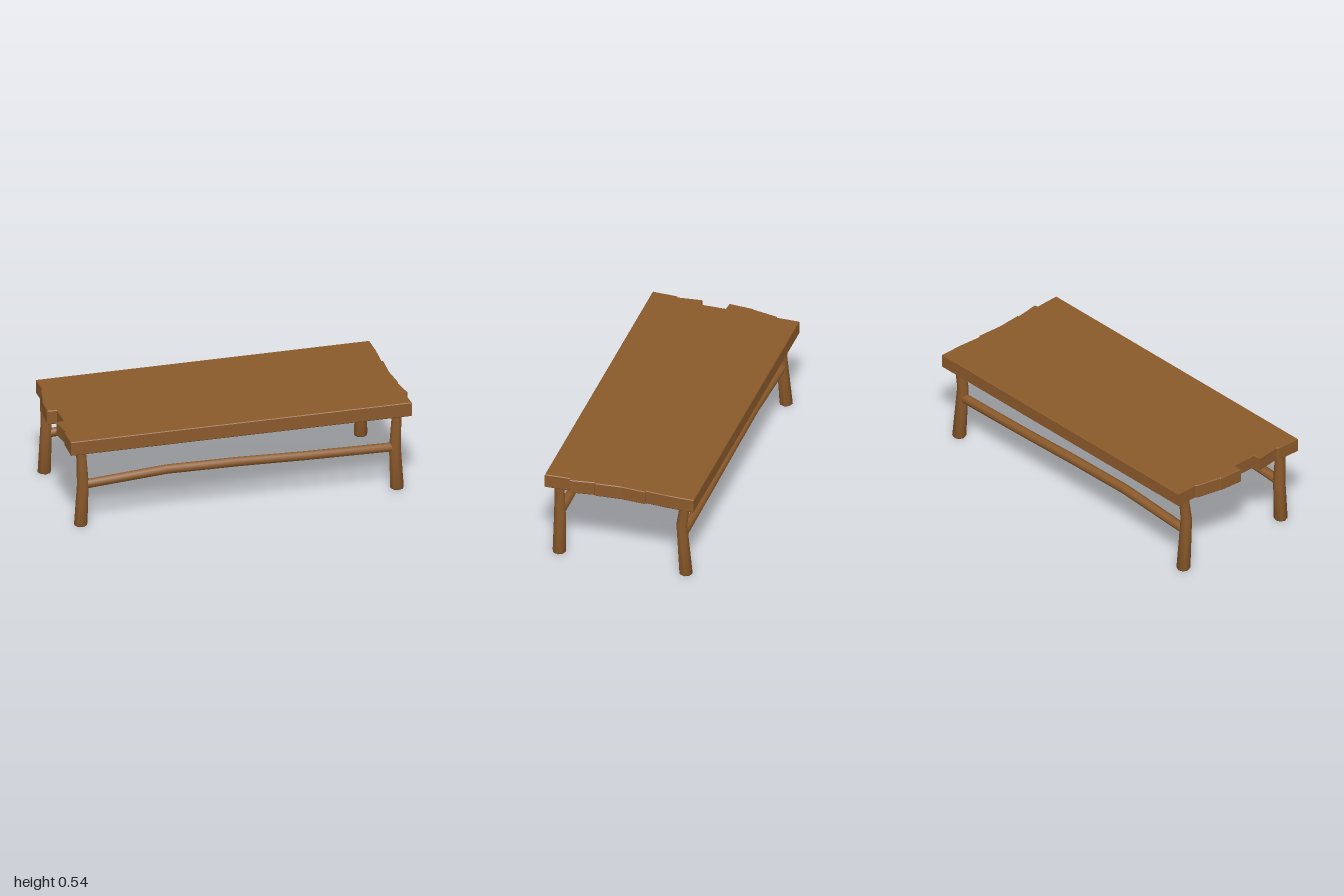
import * as THREE from 'three';
import { toCreasedNormals } from 'three/addons/utils/BufferGeometryUtils.js';

const wood = new THREE.MeshStandardMaterial({ color: 0x8b5a2b });
wood.name = 'brown wood';

// Rough pole through stations [x, y, z, radius], listed from the top down or from +x to -x
function pole(name, stations, horizontal, sides = 8) {
  const n = stations.length - 1;
  const geo = new THREE.CylinderGeometry(1, 1, 1, sides, n);
  const pos = geo.attributes.position;
  for (let i = 0; i < pos.count; i++) {
    const [x, y, z, r] = stations[Math.round((0.5 - pos.getY(i)) * n)];
    const a = pos.getX(i) * r, b = pos.getZ(i) * r;
    if (horizontal) pos.setXYZ(i, x, y - a, z + b);
    else pos.setXYZ(i, x + a, y, z + b);
  }
  const mesh = new THREE.Mesh(toCreasedNormals(geo, 0.75 * Math.PI / 2.6), wood);
  mesh.name = name;
  return mesh;
}

// Table top: one slab whose ends step in and out plank by plank
function tableTop() {
  // [zBack, zFront, left end at back, left end at front, right end at back, right end at front]
  const planks = [
    [-0.435, -0.305, -0.945, -0.945, 0.985, 0.985],
    [-0.3, -0.155, -0.955, -0.985, 0.985, 0.975],
    [-0.15, -0.01, -0.99, -1.0, 0.985, 0.977],
    [-0.005, 0.14, -0.945, -0.945, 0.977, 0.987],
    [0.145, 0.285, -0.99, -0.975, 0.98, 1.0],
    [0.29, 0.435, -0.985, -0.99, 0.98, 0.985],
  ];
  const rightEnds = [], leftEnds = [];
  for (const [z0, z1, l0, l1, r0, r1] of planks) {
    rightEnds.push(new THREE.Vector2(r0, -z0), new THREE.Vector2(r1, -z1));
    leftEnds.push(new THREE.Vector2(l0, -z0), new THREE.Vector2(l1, -z1));
  }
  const outline = new THREE.Shape([...rightEnds, ...leftEnds.reverse()]);
  const bevel = 0.004;
  const geo = new THREE.ExtrudeGeometry(outline, {
    depth: 0.083 - 2 * bevel, bevelThickness: bevel, bevelSize: bevel,
    bevelOffset: -bevel, bevelSegments: 1,
  });
  geo.rotateX(-Math.PI / 2);
  geo.translate(0, 0.455 + bevel, 0);
  const mesh = new THREE.Mesh(geo, wood);
  mesh.name = 'tableTop';
  return mesh;
}

export function createModel() {
  const group = new THREE.Group();
  group.name = 'lowTable';
  group.add(tableTop());

  // Legs: front pair bulges inward, back pair is bent towards the middle
  for (const s of [1, -1]) {
    const side = s > 0 ? 'Left' : 'Right';
    group.add(pole('front' + side + 'Leg', [
      [s * 0.914, 0.46, 0.372, 0.028],
      [s * 0.903, 0.25, 0.372, 0.034],
      [s * 0.915, 0.006, 0.372, 0.039],
      [s * 0.915, 0, 0.372, 0.034],
    ]));
    group.add(pole('back' + side + 'Leg', [
      [s * 0.914, 0.46, -0.363, 0.028],
      [s * 0.912, 0.315, -0.343, 0.032],
      [s * 0.915, 0.006, -0.368, 0.039],
      [s * 0.915, 0, -0.368, 0.034],
    ]));
  }

  // Crooked rails joining the legs along each long side
  for (const [name, z] of [['frontRail', 0.372], ['backRail', -0.348]]) {
    group.add(pole(name, [
      [0.905, 0.252, z, 0.027],
      [0.38, 0.261, z, 0.027],
      [0, 0.273, z, 0.028],
      [-0.42, 0.278, z, 0.028],
      [-0.905, 0.244, z, 0.027],
    ], true));
  }
  return group;
}
